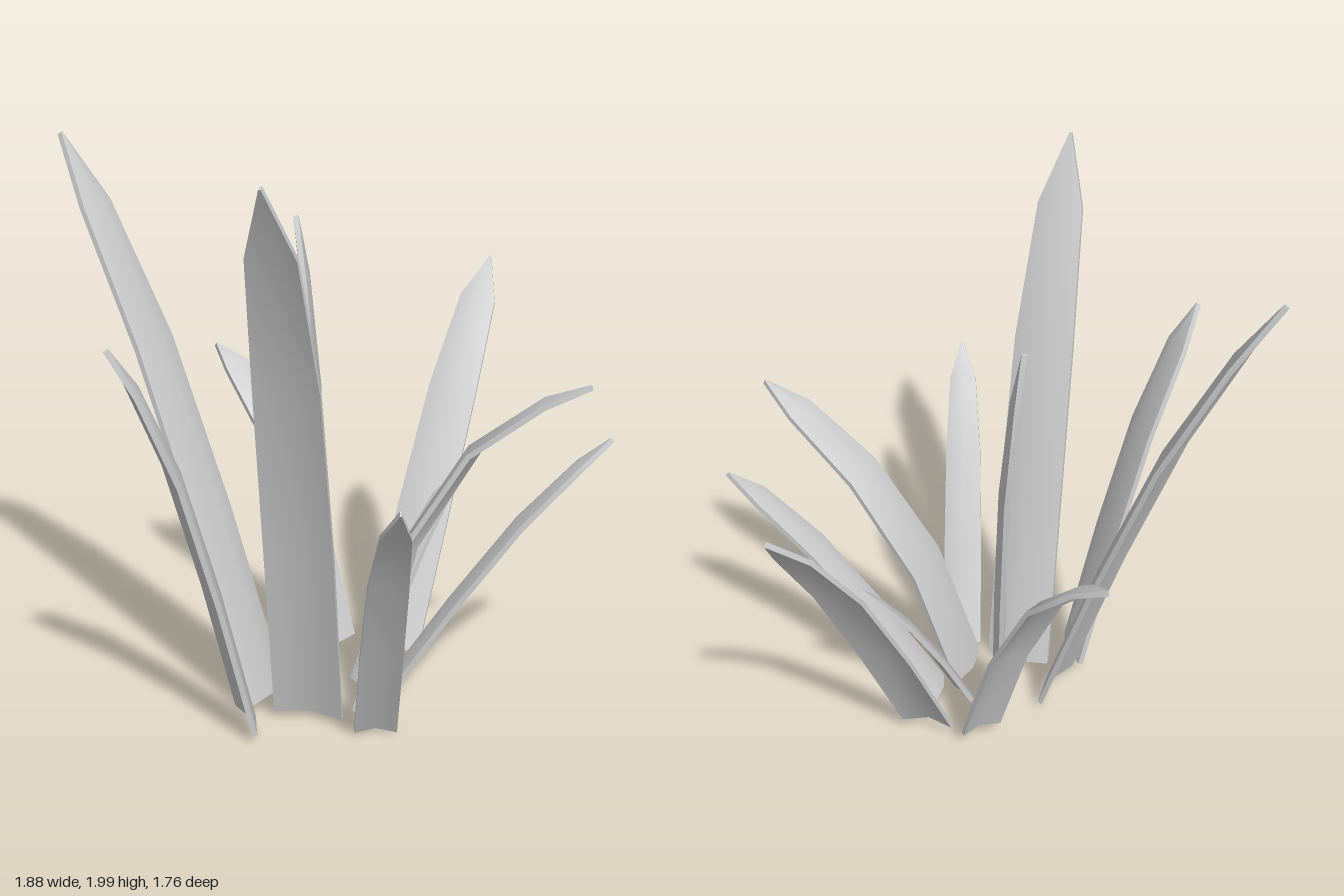
import * as THREE from 'three';
import { toCreasedNormals } from 'three/addons/utils/BufferGeometryUtils.js';

const material = new THREE.MeshStandardMaterial({ color: 0xcccccc });
const THICKNESS = 0.018;

// Stations along a blade, and its width there relative to the full width
const STATIONS = [0, 0.33, 0.64, 0.88, 1];
const TAPER = [1, 0.98, 0.9, 0.67, 0.03];

// Spine point at s: the straight line from root to tip, bowed to pass through
// the middle point. A higher lag moves the bend closer to the tip.
function spinePoint(s, root, middle, tip, lag) {
  const bow = middle.clone().sub(root.clone().lerp(tip, 0.5));
  const amount = (s * (1 - s ** lag)) / (0.5 * (1 - 0.5 ** lag));
  return root.clone().lerp(tip, s).addScaledVector(bow, amount);
}

// A thin blade with a creased cross-section, swept along its spine.
// The angle turns the width around y, to the right as seen from outside.
function makeBlade(name, rootAt, middleAt, tipAt, fullWidth, angle, lag = 3) {
  const ends = [rootAt, middleAt, tipAt].map((p) => new THREE.Vector3(...p));
  const points = STATIONS.map((s) => spinePoint(s, ...ends, lag));
  const turn = THREE.MathUtils.degToRad(angle);
  const last = points.length - 1;
  const positions = [];
  const index = [];

  points.forEach((p, k) => {
    const tangent = points[Math.min(k + 1, last)].clone().sub(points[Math.max(k - 1, 0)]).normalize();
    const across = new THREE.Vector3(Math.cos(turn), 0, Math.sin(turn));
    across.addScaledVector(tangent, -across.dot(tangent)).normalize();
    const outward = across.clone().cross(tangent);
    const width = fullWidth * TAPER[k];
    // Outer face left to right, then inner face right to left
    for (const face of [1, -1]) {
      for (const u of [-0.5 * face, 0, 0.5 * face]) {
        const fold = (u === 0 ? -0.065 : 0.065) * width;
        const q = p.clone().addScaledVector(across, u * width);
        q.addScaledVector(outward, fold + (face * THICKNESS) / 2);
        positions.push(q.x, q.y, q.z);
      }
    }
  });

  for (let k = 0; k < last; k++) {
    for (let i = 0; i < 6; i++) {
      const a = k * 6 + i;
      const b = k * 6 + ((i + 1) % 6);
      index.push(a, b, b + 6, a, b + 6, a + 6);
    }
  }
  // Root and tip caps
  const top = last * 6;
  for (const [a, b, c] of [[0, 1, 4], [0, 4, 5], [1, 2, 3], [1, 3, 4]]) {
    index.push(a, c, b, top + a, top + b, top + c);
  }

  const geometry = new THREE.BufferGeometry();
  geometry.setAttribute('position', new THREE.Float32BufferAttribute(positions, 3));
  geometry.setIndex(index);
  const mesh = new THREE.Mesh(toCreasedNormals(geometry, 0.75), material);
  mesh.name = name;
  return mesh;
}

export function createModel() {
  const plant = new THREE.Group();
  plant.name = 'grassTuft';
  // Name, root, middle, tip, width, angle of the width, lag of the bend
  plant.add(
    makeBlade('frontTallBlade', [-0.01, 0.035, 0.315], [0, 1.03, 0.52], [0.005, 1.995, 0.86], 0.24, 0),
    makeBlade('rightTallBlade', [-0.18, 0.04, 0.23], [-0.49, 1, 0.145], [-0.935, 1.945, 0.04], 0.245, 100),
    makeBlade('frontRightBlade', [-0.19, 0.045, 0.43], [-0.32, 0.8, 0.57], [-0.505, 1.455, 0.79], 0.2, 57),
    makeBlade('frontLeftBlade', [0.23, 0.02, 0.345], [0.31, 0.56, 0.58], [0.42, 1.06, 0.875], 0.145, -17),
    makeBlade('leftArchingBlade', [0.15, 0.03, 0.21], [0.38, 0.81, 0.085], [0.88, 1.23, 0.12], 0.18, -78, 1),
    makeBlade('leftLowBlade', [0.21, 0.03, 0.055], [0.54, 0.535, -0.01], [0.935, 0.97, -0.11], 0.145, -97),
    makeBlade('backLeftBlade', [0.175, 0.07, -0.15], [0.275, 0.76, -0.465], [0.38, 1.365, -0.875], 0.195, 178),
    makeBlade('smallBlade', [0.11, 0.03, 0.07], [0.22, 0.4, -0.085], [0.37, 0.72, -0.27], 0.105, 215, 2),
    makeBlade('backRightBlade', [-0.02, 0.08, -0.13], [-0.225, 0.71, -0.24], [-0.56, 1.09, -0.42], 0.155, 131, 2),
    makeBlade('centreBlade', [-0.03, 0.06, 0.04], [-0.065, 0.87, -0.03], [-0.155, 1.68, -0.08], 0.18, 72),
  );
  return plant;
}
